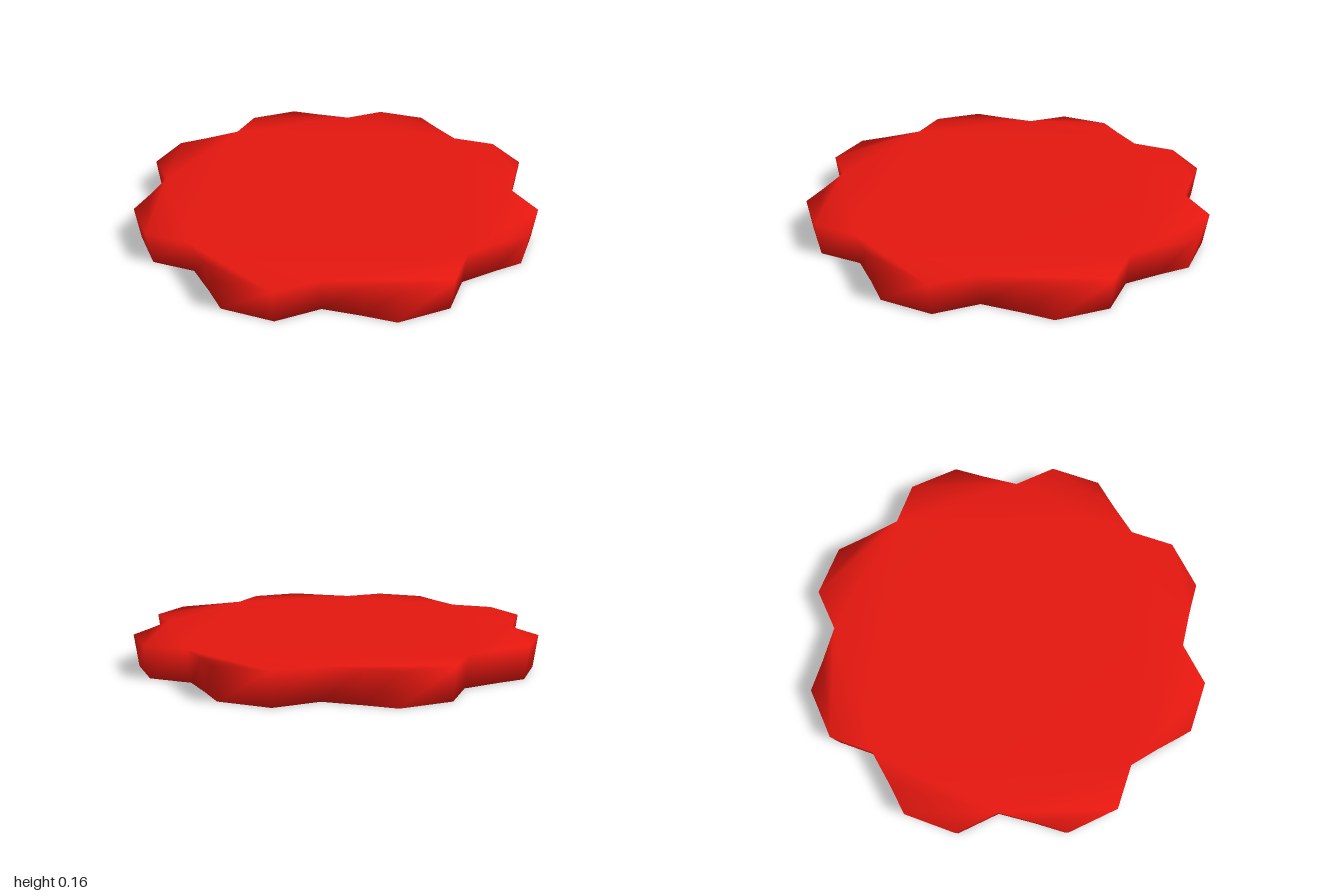
import * as THREE from 'three';

const HEIGHT = 0.16;
const LOBES = 8;
const BOTTOM_SCALE = 0.98;

// One lobe of the rim as [radius, angle in degrees]: valley, long flank, two tips
const LOBE = [[0.895, -5.8], [0.951, 5.4], [1.028, 13.4], [1.021, 28.1]];

// Counter-clockwise rim outline, starting at the valley on the -x side
function rimOutline() {
  const points = [];
  for (let k = 0; k < LOBES; k++) {
    for (const [r, deg] of LOBE) {
      const a = THREE.MathUtils.degToRad(deg + 180 + k * 360 / LOBES);
      points.push(new THREE.Vector2(r * Math.cos(a), r * Math.sin(a)));
    }
  }
  return points;
}

// Slightly tapered prism whose caps and wall share vertices, so it shades smoothly
function lobedDiscGeometry() {
  const rim = rimOutline();
  const n = rim.length;
  const positions = [];
  const index = [];
  for (const p of rim) positions.push(p.x, HEIGHT, -p.y);
  for (const p of rim) positions.push(p.x * BOTTOM_SCALE, 0, -p.y * BOTTOM_SCALE);

  // Top and bottom caps
  for (const [a, b, c] of THREE.ShapeUtils.triangulateShape(rim, [])) {
    index.push(a, b, c, n + a, n + c, n + b);
  }
  // Wall
  for (let i = 0; i < n; i++) {
    const j = (i + 1) % n;
    index.push(n + i, n + j, j, n + i, j, i);
  }

  const geometry = new THREE.BufferGeometry();
  geometry.setAttribute('position', new THREE.Float32BufferAttribute(positions, 3));
  geometry.setIndex(index);
  geometry.computeVertexNormals();
  return geometry;
}

export function createModel() {
  const group = new THREE.Group();
  group.name = 'scallopedDisc';
  const disc = new THREE.Mesh(
    lobedDiscGeometry(),
    new THREE.MeshStandardMaterial({ color: 0xe3170f })
  );
  disc.name = 'lobedDisc';
  group.add(disc);
  return group;
}
